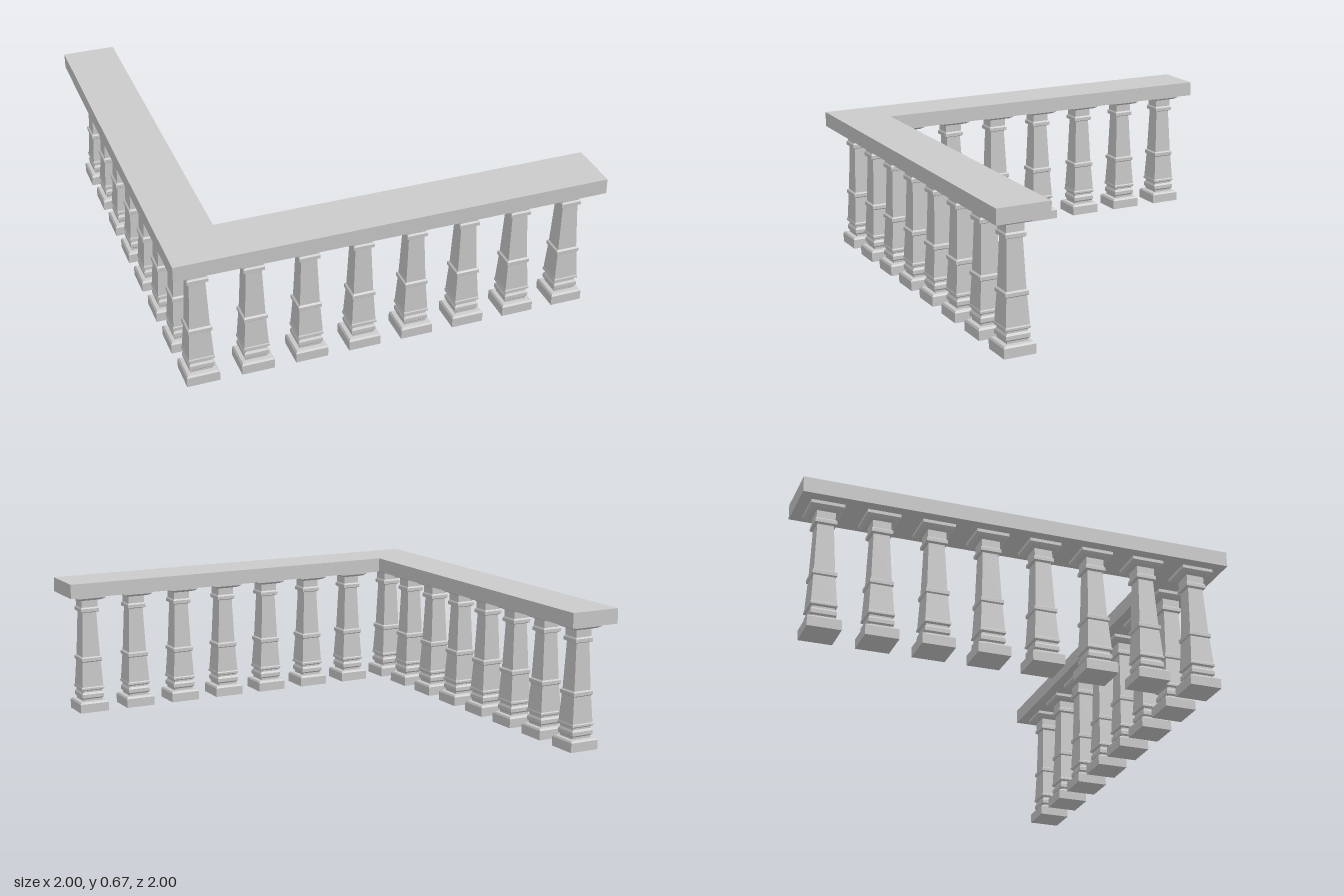
import * as THREE from 'three';

const material = new THREE.MeshStandardMaterial({ color: 0xcccccc, flatShading: true });

// Square turned profile: [half width, height]
const profile = [
  [0, 0], [0.075, 0], [0.075, 0.045], [0.068, 0.053], // plinth
  [0.05, 0.055], [0.05, 0.065], [0.057, 0.072], [0.057, 0.09], [0.05, 0.1], // foot moulding
  [0.05, 0.108], [0.059, 0.114], [0.059, 0.123], [0.056, 0.128], // shaft foot
  [0.048, 0.255], [0.054, 0.26], [0.054, 0.276], [0.046, 0.282], // middle band
  [0.037, 0.5], [0.037, 0.507], [0.048, 0.512], [0.048, 0.528], [0.042, 0.535], // collar
  [0.042, 0.57], [0.06, 0.575], [0.075, 0.585], [0.075, 0.6], [0, 0.6], // capital
];

export function createModel() {
  const group = new THREE.Group();

  // L-shaped handrail, drawn in plan and laid flat
  const plan = new THREE.Shape([
    [-1, -1], [1, -1], [1, -0.75], [-0.75, -0.75], [-0.75, 1], [-1, 1],
  ].map(([x, y]) => new THREE.Vector2(x, y)));
  const railGeometry = new THREE.ExtrudeGeometry(plan, { depth: 0.072, bevelEnabled: false });
  railGeometry.rotateX(-Math.PI / 2).translate(0, 0.6, 0);
  const rail = new THREE.Mesh(railGeometry, material);
  rail.name = 'handrail';
  group.add(rail);

  // Four-sided balusters, sharing the corner one between both runs
  const points = profile.map(([w, y]) => new THREE.Vector2(w * Math.SQRT2, y));
  const balusterGeometry = new THREE.LatheGeometry(points, 4, Math.PI / 4);
  const addBaluster = (name, x, z) => {
    const baluster = new THREE.Mesh(balusterGeometry, material);
    baluster.name = name;
    baluster.position.set(x, 0, z);
    group.add(baluster);
  };
  for (let i = 0; i < 8; i++) {
    const t = -0.875 + i * 0.25;
    addBaluster('frontBaluster', t, 0.875);
    if (i < 7) addBaluster('sideBaluster', -0.875, t);
  }
  return group;
}
